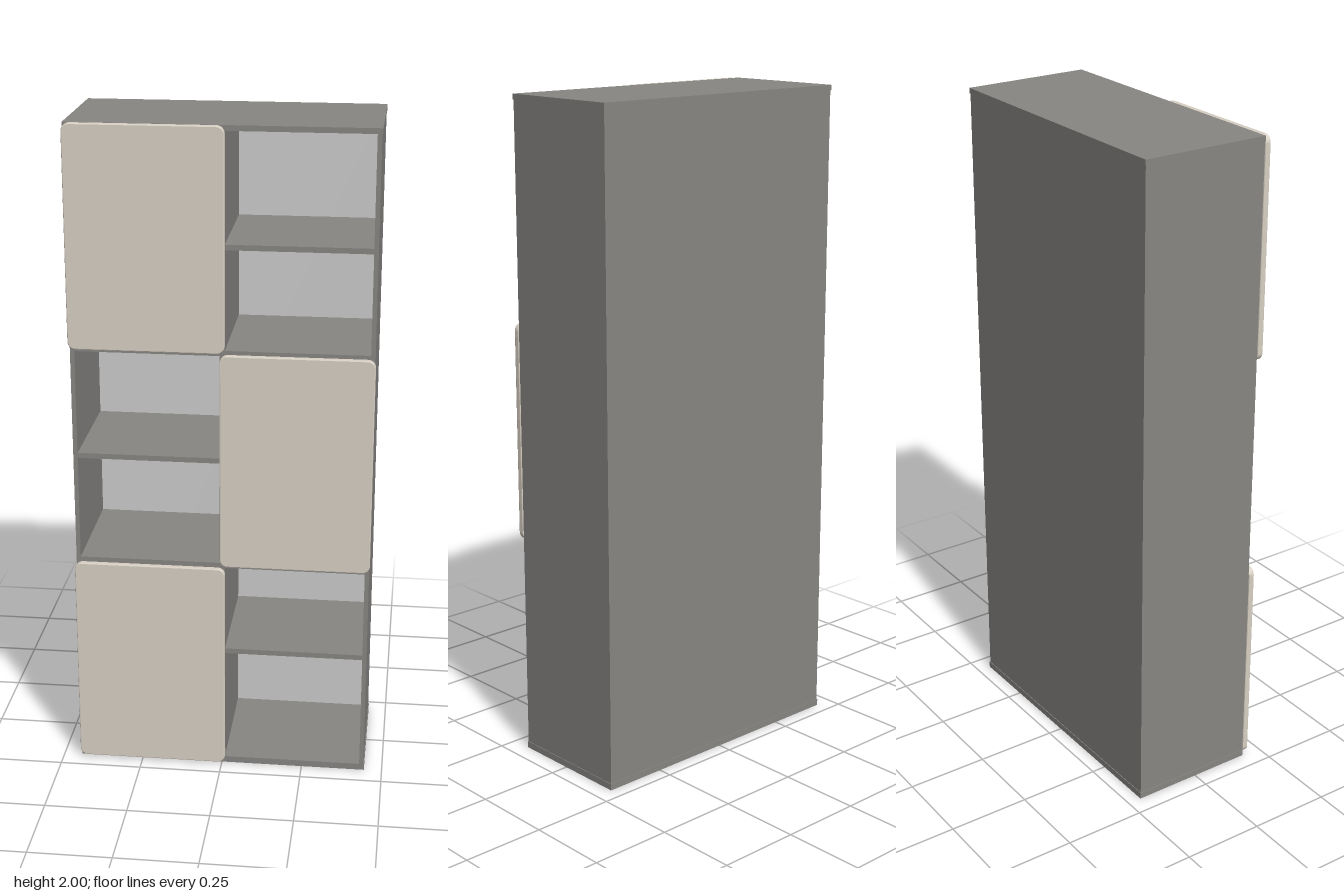
import * as THREE from 'three';

const T = 0.016; // board thickness
const BACK = -0.207, FRONT = 0.187;

export function createModel() {
  const model = new THREE.Group();
  model.name = 'bookcase';
  const wood = new THREE.MeshStandardMaterial({ color: 0x888683 });
  const lining = new THREE.MeshStandardMaterial({ color: 0xcccccc });
  const cream = new THREE.MeshStandardMaterial({ color: 0xd8d0c3 });

  // Box given by its minimum and maximum on each axis
  function board(name, x0, x1, y0, y1, z0, z1, material = wood) {
    const mesh = new THREE.Mesh(new THREE.BoxGeometry(x1 - x0, y1 - y0, z1 - z0), material);
    mesh.position.set((x0 + x1) / 2, (y0 + y1) / 2, (z0 + z1) / 2);
    mesh.name = name;
    model.add(mesh);
  }

  // Carcass
  board('bottomBoard', -0.445, 0.445, 0, 0.02, BACK, FRONT);
  board('topBoard', -0.445, 0.445, 2 - T, 2, BACK, FRONT);
  board('rightSide', -0.443, -0.43, 0.02, 2 - T, BACK + 0.002, FRONT - 0.001);
  board('leftSide', 0.43, 0.443, 0.02, 2 - T, BACK + 0.002, FRONT - 0.001);
  board('divider', -0.005, 0.01, 0.02, 2 - T, BACK + 0.015, FRONT - 0.001);
  board('backPanel', -0.43, 0.43, 0.02, 2 - T, BACK + 0.002, BACK + 0.012);
  board('backLining', -0.43, 0.43, 0.02, 2 - T, BACK + 0.012, BACK + 0.016, lining);

  // Shelves in both columns
  for (const y of [0.388, 0.674, 1.01, 1.342, 1.655]) {
    board('rightShelf', -0.43, -0.005, y - T / 2, y + T / 2, BACK + 0.016, FRONT - 0.002);
    board('leftShelf', 0.01, 0.43, y - T / 2, y + T / 2, BACK + 0.016, FRONT - 0.002);
  }

  // Rounded door panel with softened edges
  function door(name, x0, x1, y0, y1) {
    const b = 0.003, r = 0.02;
    const l = x0 + b, R = x1 - b, d = y0 + b, u = y1 - b;
    const s = new THREE.Shape();
    s.absarc(R - r, d + r, r, -Math.PI / 2, 0);
    s.absarc(R - r, u - r, r, 0, Math.PI / 2);
    s.absarc(l + r, u - r, r, Math.PI / 2, Math.PI);
    s.absarc(l + r, d + r, r, Math.PI, Math.PI * 1.5);
    s.closePath();
    const geo = new THREE.ExtrudeGeometry(s, {
      depth: 0.018 - 2 * b, bevelThickness: b, bevelSize: b, bevelSegments: 2, curveSegments: 8,
    });
    const mesh = new THREE.Mesh(geo, cream);
    mesh.position.z = FRONT + b;
    mesh.name = name;
    model.add(mesh);
  }
  door('topDoor', -0.446, 0.011, 1.345, 2);
  door('middleDoor', -0.004, 0.445, 0.677, 1.34);
  door('bottomDoor', -0.446, 0.011, 0.008, 0.669);

  return model;
}
